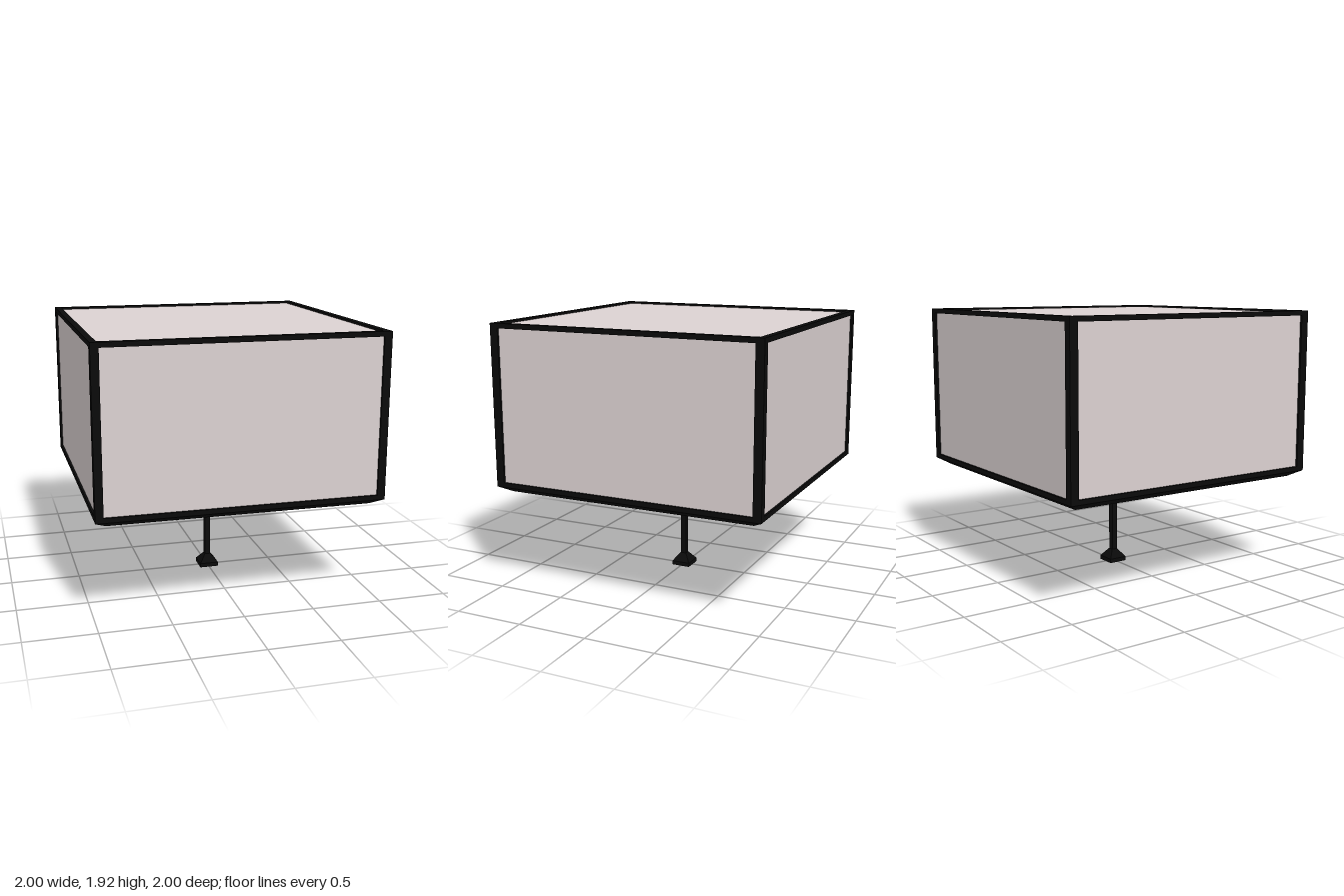
import * as THREE from 'three';

const black = new THREE.MeshStandardMaterial({ color: 0x0a0a0a, flatShading: true });
const pane = new THREE.MeshStandardMaterial({ color: 0xdcd2d2, flatShading: true });

export function createModel() {
  const model = new THREE.Group();

  function add(name, geometry, material, x, y, z) {
    const mesh = new THREE.Mesh(geometry, material);
    mesh.name = name;
    mesh.position.set(x, y, z);
    model.add(mesh);
  }

  // Box spanning y0..y1
  function box(name, w, y0, y1, d, x, z, material = black) {
    add(name, new THREE.BoxGeometry(w, y1 - y0, d), material, x, (y0 + y1) / 2, z);
  }

  // Square frustum given its half widths
  function frustum(name, bottom, top, y0, y1) {
    const g = new THREE.CylinderGeometry(top * Math.SQRT2, bottom * Math.SQRT2, y1 - y0, 4);
    g.rotateY(Math.PI / 4);
    add(name, g, black, 0, (y0 + y1) / 2, 0);
  }

  // Foot and pole
  box('footPlate', 0.14, 0, 0.03, 0.14, 0, 0);
  frustum('footTaper', 0.07, 0.022, 0.03, 0.09);
  box('pole', 0.042, 0.08, 0.72, 0.042, 0, 0);

  // Bevelled underside of the head
  frustum('bevelledTray', 0.92, 1, 0.71, 0.757);

  // Pale panes, set slightly back inside the frame
  box('panes', 1.97, 0.77, 1.902, 1.97, 0, 0, pane);

  // Corner posts
  for (const sx of [-1, 1]) {
    for (const sz of [-1, 1]) {
      box('cornerPost', 0.055, 0.757, 1.89, 0.06, sx * 0.9725, sz * 0.97);
    }
  }

  // Upper and lower rails around the head
  for (const [name, y0, y1] of [['topRail', 1.883, 1.917], ['bottomRail', 0.757, 0.79]]) {
    for (const s of [-1, 1]) {
      box(name, 2, y0, y1, 0.046, 0, s * 0.977);
      box(name, 0.046, y0, y1, 1.908, s * 0.977, 0);
    }
  }

  return model;
}
